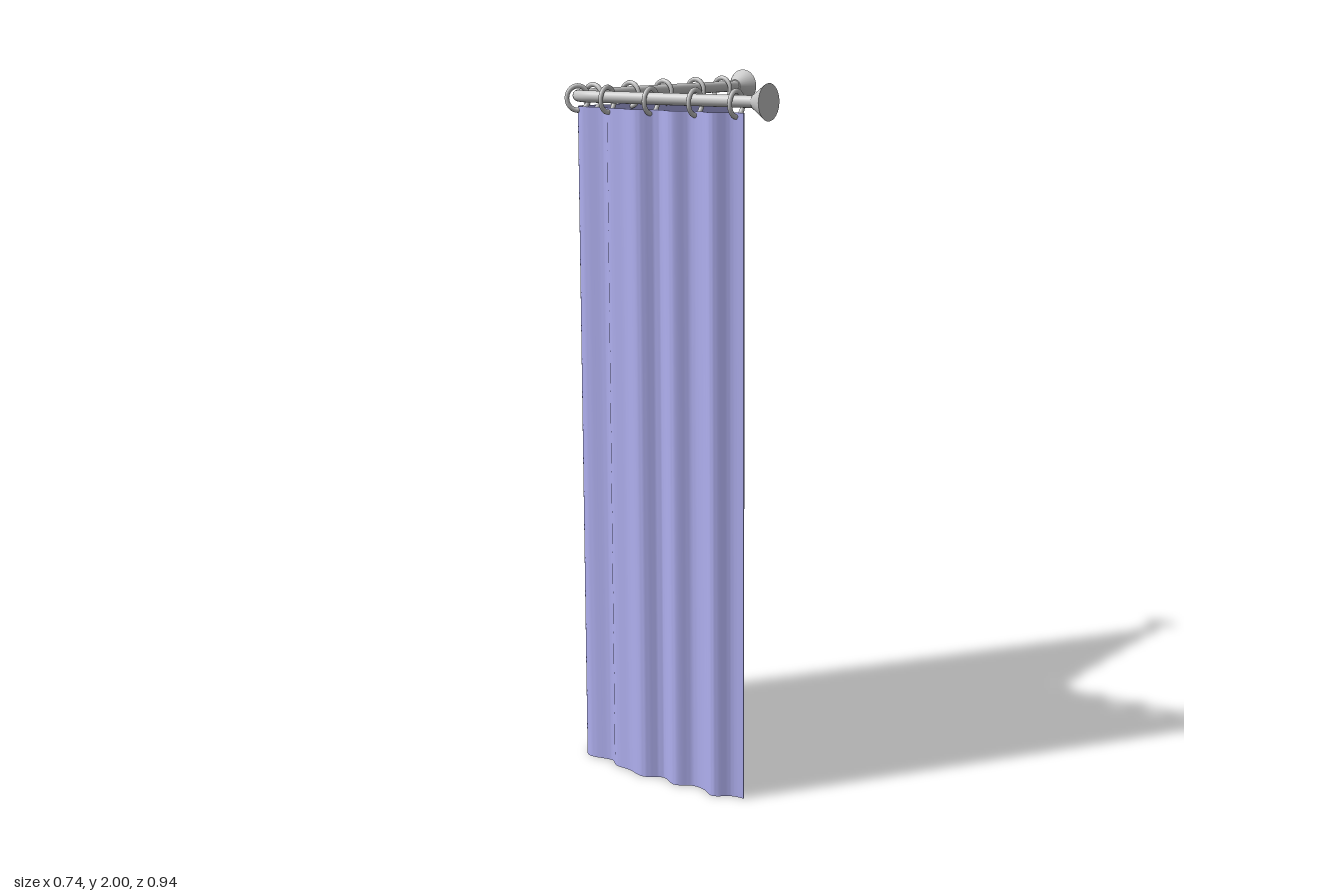
import * as THREE from 'three';
import { toCreasedNormals } from 'three/addons/utils/BufferGeometryUtils.js';

const ROD_Y = 1.95, ROD_X = -0.322, ROD_Z = 0.418, BEND = 0.1, ROD_R = 0.0165;

export function createModel() {
  const group = new THREE.Group();
  const metal = new THREE.MeshStandardMaterial({ color: 0xcccccc });
  const cloth = new THREE.MeshStandardMaterial({ color: 0xb0b0f0, side: THREE.DoubleSide });

  const add = (name, geometry, material, x = 0, y = 0, z = 0) => {
    const mesh = new THREE.Mesh(geometry, material);
    mesh.name = name;
    mesh.position.set(x, y, z);
    group.add(mesh);
    return mesh;
  };

  // L-shaped rod with a rounded corner
  const p = (x, z) => new THREE.Vector3(x, ROD_Y, z);
  const k = BEND * 0.448;
  const a = p(ROD_X, ROD_Z - BEND), b = p(ROD_X + BEND, ROD_Z);
  const path = new THREE.CurvePath();
  path.add(new THREE.LineCurve3(p(ROD_X, -0.44), a));
  path.add(new THREE.CubicBezierCurve3(a, p(ROD_X, ROD_Z - k), p(ROD_X + k, ROD_Z), b));
  path.add(new THREE.LineCurve3(b, p(0.34, ROD_Z)));
  add('rod', new THREE.TubeGeometry(path, 140, ROD_R, 24), metal);

  // Flared wall mounts at both rod ends
  const flange = new THREE.CylinderGeometry(0.05, 0.02, 0.045, 32);
  add('backWallMount', flange, metal, ROD_X, ROD_Y, -0.4485).rotation.x = -Math.PI / 2;
  add('sideWallMount', flange, metal, 0.3475, ROD_Y, ROD_Z).rotation.z = -Math.PI / 2;

  // Rings hanging on the rod: [x, z, turn about y]
  const rings = [
    ...[-0.355, -0.215, -0.05, 0.112, 0.286].map((z) => [ROD_X, z, 0]),
    [-0.297, 0.387, Math.PI / 4],
    ...[-0.167, -0.017, 0.132, 0.266].map((x) => [x, ROD_Z, Math.PI / 2]),
  ];
  const ringGeometry = new THREE.TorusGeometry(0.031, 0.0065, 12, 36);
  ringGeometry.scale(1, 1.1, 1);
  rings.forEach(([x, z, turn], i) => {
    add(`ring${i + 1}`, ringGeometry, metal, x, 1.943, z).rotation.y = turn;
  });

  // Curtain: a thin wavy strip in plan (x, z), extruded downwards
  const folds = new THREE.SplineCurve([
    [-0.318, -0.4], [-0.303, -0.36], [-0.312, -0.32], [-0.323, -0.27], [-0.318, -0.215],
    [-0.298, -0.165], [-0.318, -0.12], [-0.323, -0.07], [-0.303, -0.025], [-0.318, 0.017],
    [-0.306, 0.06], [-0.32, 0.11], [-0.316, 0.16], [-0.288, 0.22], [-0.308, 0.275],
    [-0.324, 0.32], [-0.312, 0.365], [-0.277, 0.392], [-0.205, 0.384], [-0.167, 0.412],
    [-0.11, 0.42], [-0.05, 0.44], [0.007, 0.414], [0.065, 0.441], [0.115, 0.418],
    [0.16, 0.425], [0.205, 0.45], [0.25, 0.422], [0.29, 0.417],
  ].map(([x, z]) => new THREE.Vector2(x, z)));
  const steps = 260, half = 0.002, near = [], far = [];
  for (let i = 0; i <= steps; i++) {
    const c = folds.getPoint(i / steps), t = folds.getTangent(i / steps);
    const n = new THREE.Vector2(-t.y, t.x).multiplyScalar(half);
    near.push(c.clone().add(n));
    far.unshift(c.clone().sub(n));
  }
  const strip = new THREE.ExtrudeGeometry(new THREE.Shape([...near, ...far]), { depth: 1.92, bevelEnabled: false });
  strip.rotateX(Math.PI / 2);
  add('curtain', toCreasedNormals(strip, 0.8), cloth, 0, 1.92, 0);

  return group;
}
